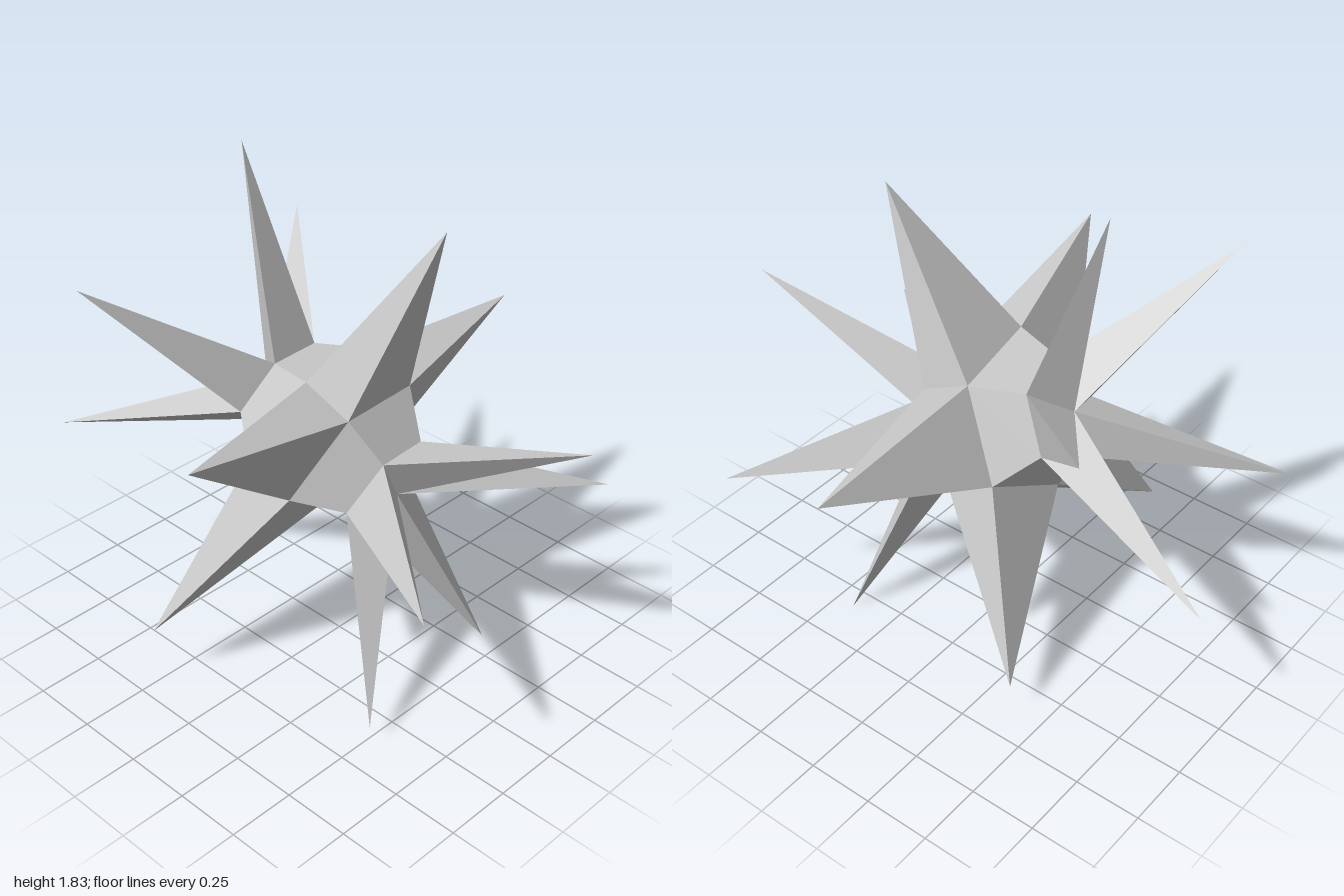
import * as THREE from 'three';

const SIDES = 5, RADIUS = 0.32;
const STEP = Math.PI / 5;

// Point on the core: ring 0..5 from front pole to back pole, corner 0..4 around
function corePoint(ring, corner) {
  const t = ring * STEP, p = (corner - 0.5) * 2 * STEP;
  return new THREE.Vector3(
    RADIUS * Math.sin(t) * Math.sin(p), RADIUS * Math.sin(t) * Math.cos(p), RADIUS * Math.cos(t));
}

// Outward-facing corners of one core face
function faceCorners(row, k) {
  const corners = [corePoint(row, k)];
  if (row > 0) corners.push(corePoint(row, k + 1));
  corners.push(corePoint(row + 1, k + 1));
  if (row < 4) corners.push(corePoint(row + 1, k));
  return corners;
}

function flatMesh(name, points, material) {
  const geometry = new THREE.BufferGeometry().setFromPoints(points);
  geometry.computeVertexNormals();
  const mesh = new THREE.Mesh(geometry, material);
  mesh.name = name;
  return mesh;
}

export function createModel() {
  const root = new THREE.Group();
  root.name = 'spikyStar';
  const material = new THREE.MeshStandardMaterial({ color: 0xcccccc, flatShading: true });

  // The star leans forward: its pole axis is local z
  const star = new THREE.Group();
  star.name = 'star';
  star.position.set(-0.043, 0.884, 0);
  star.quaternion.setFromRotationMatrix(new THREE.Matrix4().makeBasis(
    new THREE.Vector3(0.988, -0.08, -0.134),
    new THREE.Vector3(0.129, 0.901, 0.414),
    new THREE.Vector3(0.0865, -0.426, 0.9)));
  root.add(star);

  // Spike tips: reach and angle around the axis for the two pole rows
  const poleReach = [0.687, 0.618, 0.688, 0.649, 0.645];
  const poleAngle = [-1, 72, 146, 213, 291];
  const corePoints = [];
  for (let k = 0; k < SIDES; k++) {
    // Two bands of plain faces between the spike rows
    for (const row of [1, 3]) {
      const [a, b, c, d] = faceCorners(row, k);
      corePoints.push(a, b, c, a, c, d);
    }
    // Front, middle and back spikes, pulled out of the remaining faces
    for (const [row, name, depth] of [[0, 'frontSpike', 0.785], [2, 'middleSpike', 0], [4, 'backSpike', -0.785]]) {
      const reach = row === 2 ? 0.942 : poleReach[k];
      const angle = THREE.MathUtils.degToRad(row === 2 ? 72 * k : poleAngle[k]);
      const tip = new THREE.Vector3(reach * Math.sin(angle), reach * Math.cos(angle), depth);
      const base = faceCorners(row, k);
      const points = base.flatMap((p, i) => [p, base[(i + 1) % base.length], tip]);
      star.add(flatMesh(name + (k + 1), points, material));
    }
  }
  star.add(flatMesh('core', corePoints, material));
  return root;
}
